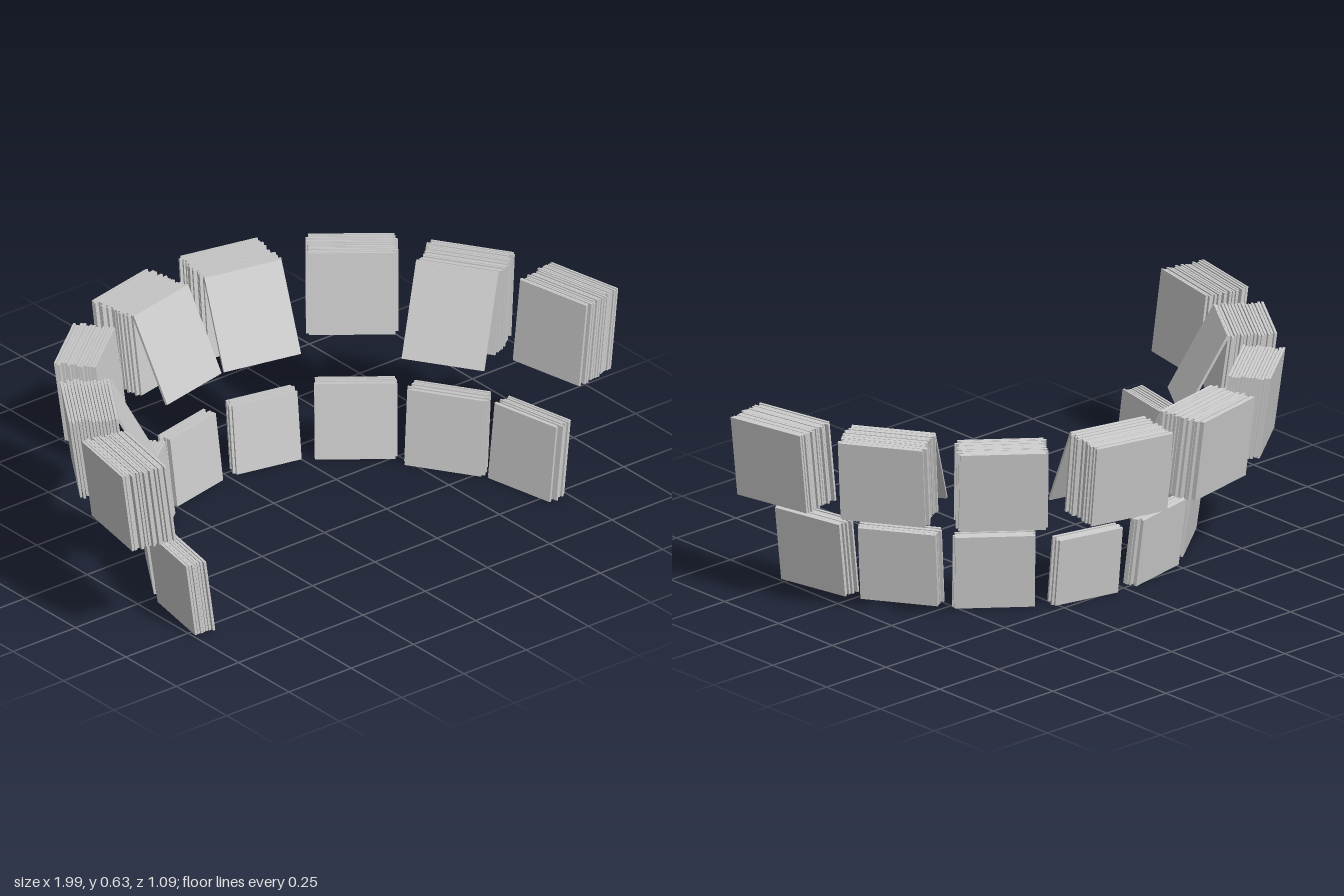
import * as THREE from 'three';
import { mergeGeometries } from 'three/addons/utils/BufferGeometryUtils.js';

const LEAN = 0.13; // backward tilt of every sheet, in radians
const PITCH = 0.0105; // spacing of the sheets in a stack

// Small seeded generator for the uneven sheet edges
function seeded(seed) {
  let s = seed;
  return () => (s = (s * 16807) % 2147483647) / 2147483647;
}

// One thin square sheet standing on its lower edge and tilted backwards
function sheet(width, height, tilt, x, footZ) {
  const g = new THREE.BoxGeometry(width, height / Math.cos(tilt), 0.008);
  g.translate(0, height / Math.cos(tilt) / 2, 0);
  g.rotateX(-tilt);
  g.translate(x, 0, footZ);
  return g;
}

// A row of sheets; local +z points to the inside of the arc,
// and the origin lies below the top of the outermost sheet
function stack(spec, material, rand) {
  const { size, depth, flap } = spec;
  const group = new THREE.Group();
  const foot = size * Math.tan(LEAN) + 0.004;
  const count = Math.round(depth / PITCH);
  const sheets = [];
  for (let i = 0; i < count; i++) {
    const edge = i === 0 || i === count - 1;
    const shift = edge ? 0 : (rand() - 0.5) * 0.022;
    sheets.push(sheet(size, size - (edge ? 0 : rand() * 0.003), LEAN, shift, foot + i * PITCH));
  }
  const body = new THREE.Mesh(mergeGeometries(sheets), material);
  body.name = 'sheets';
  group.add(body);

  // A single sheet pulled forward at the foot, leaving an open wedge
  if (flap) {
    const footZ = 0.3;
    const tilt = Math.atan((footZ - depth) / size);
    const front = new THREE.Mesh(sheet(size, size, tilt, 0, footZ), material);
    front.name = 'leaningSheet';
    group.add(front);
  }
  return group;
}

// Half of each arc, from the middle to the end: outer top point, yaw, size
const rows = {
  upperStack: {
    y: 0.354,
    items: [
      { x: 0.2, z: -0.522, yaw: 12, size: 0.27, depth: 0.165, flap: true },
      { x: 0.578, z: -0.33, yaw: 38, size: 0.27, depth: 0.14 },
      { x: 0.82, z: -0.027, yaw: 57, size: 0.27, depth: 0.155, flap: true },
      { x: 0.97, z: 0.345, yaw: 79, size: 0.27, depth: 0.16 },
    ],
  },
  lowerStack: {
    y: 0,
    items: [
      { x: 0.155, z: -0.272, yaw: 12, size: 0.227, depth: 0.055 },
      { x: 0.43, z: -0.13, yaw: 38, size: 0.25, depth: 0.052 },
      { x: 0.63, z: 0.11, yaw: 57, size: 0.25, depth: 0.075 },
      { x: 0.749, z: 0.395, yaw: 79, size: 0.25, depth: 0.075 },
    ],
  },
};

export function createModel() {
  const model = new THREE.Group();
  model.name = 'leaningStacks';
  const material = new THREE.MeshStandardMaterial({ color: 0xcccccc, flatShading: true });
  const rand = seeded(4217);

  for (const [name, row] of Object.entries(rows)) {
    row.items.forEach((spec, i) => {
      for (const side of [1, -1]) {
        const s = stack(spec, material, rand);
        s.name = `${name}${side > 0 ? 'Left' : 'Right'}${i + 1}`;
        s.position.set(side * spec.x, row.y, spec.z);
        s.rotation.y = -side * THREE.MathUtils.degToRad(spec.yaw);
        model.add(s);
      }
    });
  }
  return model;
}
